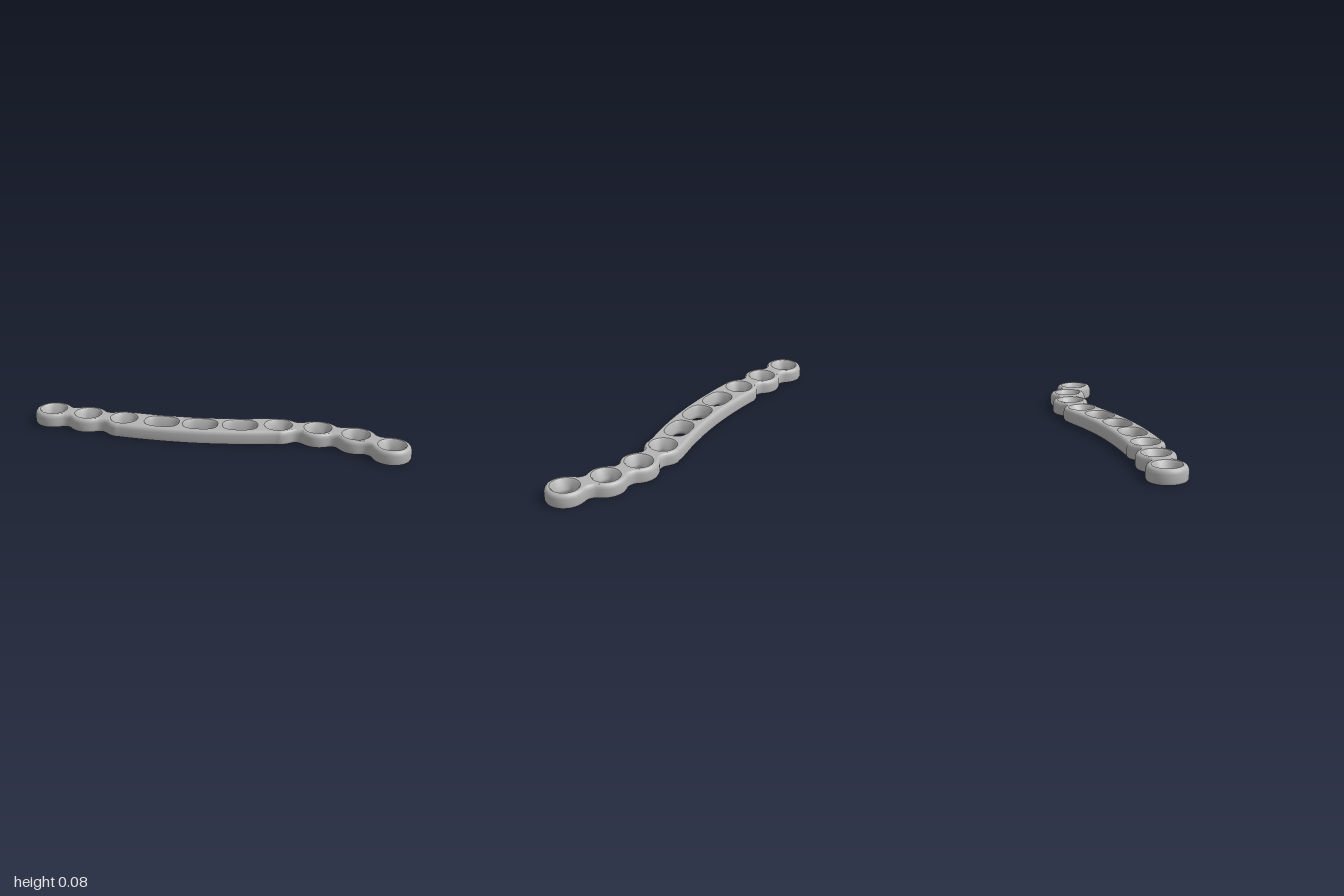
import * as THREE from 'three';

const TOP = 0.075;
// Hole centres in plan: x and depth (depth = -z)
const CENTRES = [
  [-0.902, -0.095], [-0.7, -0.095], [-0.495, -0.094], [-0.29, -0.076], [-0.09, -0.043],
  [0.11, 0.01], [0.297, 0.073], [0.5, 0.102], [0.703, 0.085], [0.9, 0.015],
];
const LAST = CENTRES.length - 1;
const RADIUS = 0.098;
const spine = new THREE.CatmullRomCurve3(CENTRES.map(([x, p]) => new THREE.Vector3(x, p, 0)));

// Half width along the spine: round lobes at both ends, an even beam in the middle
function halfWidth(u) {
  if (u >= 2 && u <= 6) return 0.095;
  const d = Math.abs(u - Math.round(u)) * 0.203;
  const lobe = Math.sqrt(Math.max(0, RADIUS * RADIUS - d * d));
  return Math.pow(lobe ** 8 + 0.06 ** 8, 1 / 8);
}

// Counter-clockwise outline, pulled in by an inset
function outline(inset) {
  const pts = [];
  const steps = LAST * 16;
  const side = (sign, k) => {
    const t = k / steps;
    const c = spine.getPoint(t), d = spine.getTangent(t);
    const w = (halfWidth(t * LAST) - inset) * sign;
    pts.push(new THREE.Vector2(c.x - d.y * w, c.y + d.x * w));
  };
  const cap = (t, from) => {
    const c = spine.getPoint(t), d = spine.getTangent(t);
    const base = Math.atan2(d.y, d.x) + from;
    for (let i = 1; i < 20; i++) {
      const a = base + (i / 20) * Math.PI, r = RADIUS - inset;
      pts.push(new THREE.Vector2(c.x + r * Math.cos(a), c.y + r * Math.sin(a)));
    }
  };
  for (let k = 0; k <= steps; k++) side(-1, k);
  cap(1, -Math.PI / 2);
  for (let k = steps; k >= 0; k--) side(1, k);
  cap(0, Math.PI / 2);
  return pts;
}

// Superellipse ring turned to follow the spine
function holeRing(index, a, b, n) {
  const c = spine.getPoint(index / LAST), d = spine.getTangent(index / LAST);
  const pts = [];
  for (let i = 0; i < 48; i++) {
    const ang = (i / 48) * Math.PI * 2;
    const cx = Math.cos(ang), sy = Math.sin(ang);
    const r = Math.pow(Math.abs(cx / a) ** n + Math.abs(sy / b) ** n, -1 / n);
    pts.push(new THREE.Vector2(c.x + r * (cx * d.x - sy * d.y), c.y + r * (cx * d.y + sy * d.x)));
  }
  return pts;
}

// Smooth wall through closed rings of { y, pts }
function loft(rings) {
  const n = rings[0].pts.length;
  const pos = [], idx = [];
  rings.forEach(({ y, pts }) => pts.forEach((p) => pos.push(p.x, y, -p.y)));
  for (let r = 0; r < rings.length - 1; r++) {
    for (let i = 0; i < n; i++) {
      const j = (i + 1) % n;
      const a = r * n + i, b = r * n + j, c = b + n, d = a + n;
      idx.push(a, b, c, a, c, d);
    }
  }
  const g = new THREE.BufferGeometry();
  g.setAttribute('position', new THREE.Float32BufferAttribute(pos, 3));
  g.setIndex(idx);
  g.computeVertexNormals();
  return g;
}

// Flat face with holes, facing up or down
function face(outer, holes, y, up) {
  const shape = new THREE.Shape(outer);
  shape.holes = holes.map((h) => new THREE.Path(h));
  const g = new THREE.ShapeGeometry(shape);
  g.rotateX(-Math.PI / 2).translate(0, y, 0);
  if (!up) {
    g.setIndex(Array.from(g.index.array).reverse());
    g.computeVertexNormals();
  }
  return g;
}

// Edge profile from bottom to top: inset, height
const EDGE = [[0.014, 0], [0.005, 0.004], [0, 0.014], [0, 0.052], [0.004, 0.064], [0.009, 0.071], [0.017, TOP]];
// Hole profiles from top to bottom: height, half length, half width, squareness
const SQUARE = [
  [TOP, 0.073, 0.072, 2], [0.069, 0.067, 0.066, 2], [0.047, 0.055, 0.055, 2.5],
  [0.026, 0.043, 0.043, 5], [0.012, 0.043, 0.043, 5], [0, 0.052, 0.052, 4],
];
const SLOT = [
  [TOP, 0.092, 0.066, 2.6], [0.068, 0.086, 0.06, 2.7], [0.045, 0.079, 0.053, 2.8],
  [0.025, 0.075, 0.048, 3], [0.012, 0.075, 0.048, 3], [0, 0.082, 0.055, 3],
];

export function createModel() {
  const group = new THREE.Group();
  group.name = 'curvedPlate';
  const metal = new THREE.MeshStandardMaterial({ color: 0xb4b4b4 });
  metal.name = 'grey metal';
  const add = (name, geometry) => {
    const mesh = new THREE.Mesh(geometry, metal);
    mesh.name = name;
    group.add(mesh);
  };

  // Rounded outer rim
  const rim = EDGE.map(([inset, y]) => ({ y, pts: outline(inset) }));
  add('outerRim', loft(rim));

  // Countersunk holes: three slots in the beam, square holes elsewhere
  const holes = CENTRES.map((_, i) => {
    const slot = i >= 3 && i <= 5;
    const rings = (slot ? SLOT : SQUARE).map(([y, a, b, n]) => ({ y, pts: holeRing(i, a, b, n) }));
    add(slot ? 'slotWall' : 'squareHoleWall', loft(rings));
    return rings;
  });

  // Top and bottom faces
  add('topFace', face(rim[rim.length - 1].pts, holes.map((h) => h[0].pts), TOP, true));
  add('bottomFace', face(rim[0].pts, holes.map((h) => h[h.length - 1].pts), 0, false));

  return group;
}
